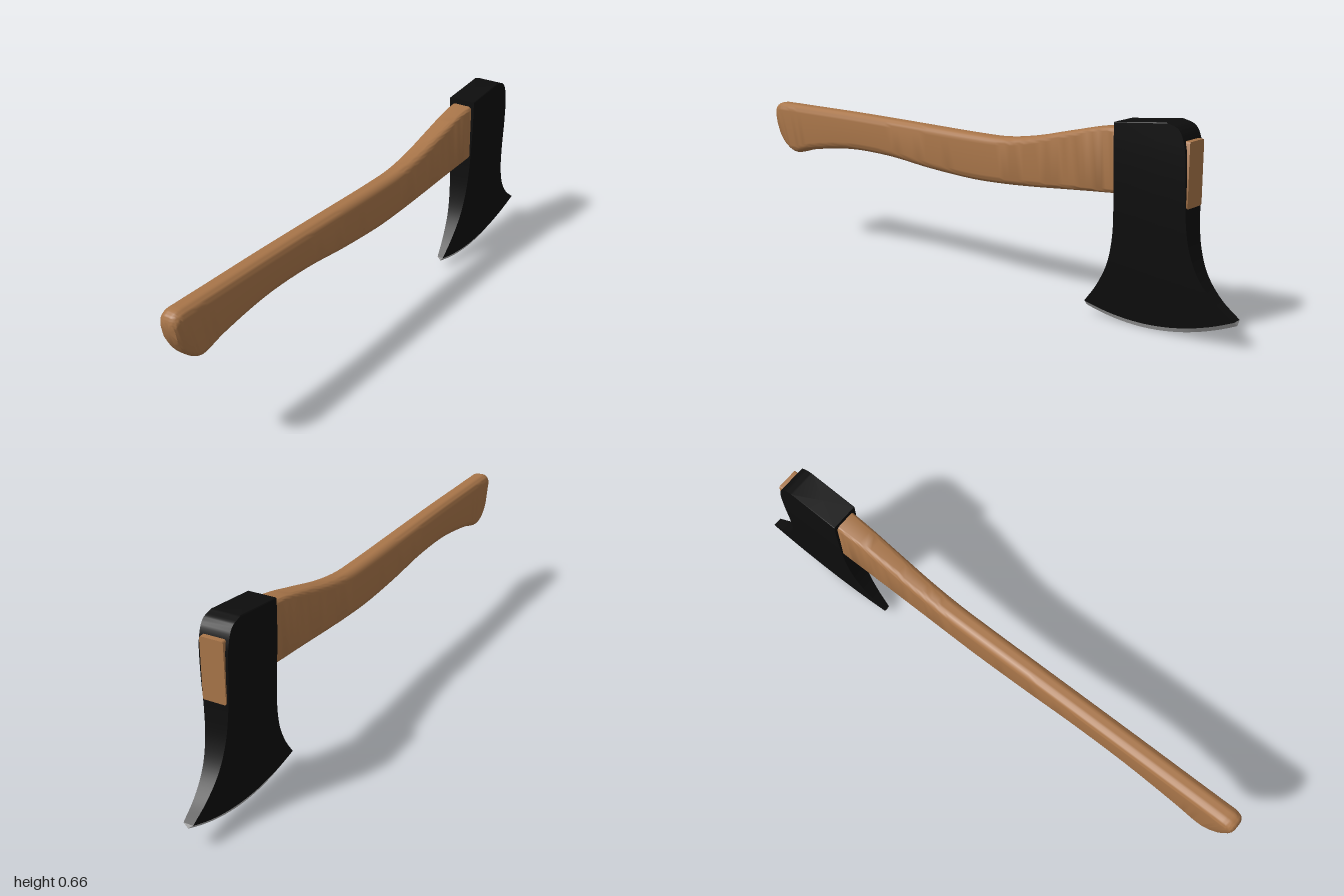
import * as THREE from 'three';
import { toCreasedNormals } from 'three/addons/utils/BufferGeometryUtils.js';

// Skin closed rings of points; optionally fan-cap the first and last ring.
function loft(rings, capStart, capEnd, crease) {
  const n = rings[0].length, pos = [], idx = [];
  rings.forEach(r => r.forEach(p => pos.push(p.x, p.y, p.z)));
  for (let i = 0; i < rings.length - 1; i++) {
    for (let j = 0; j < n; j++) {
      const k = (j + 1) % n;
      const a = i * n + j, b = i * n + k, c = b + n, d = a + n;
      idx.push(a, d, b, b, d, c);
    }
  }
  const cap = (row, flip) => {
    const m = new THREE.Vector3();
    rings[row].forEach(p => m.addScaledVector(p, 1 / n));
    const centre = pos.length / 3;
    pos.push(m.x, m.y, m.z);
    for (let j = 0; j < n; j++) {
      const a = row * n + j, b = row * n + (j + 1) % n;
      if (flip) idx.push(centre, b, a); else idx.push(centre, a, b);
    }
  };
  if (capStart) cap(0, false);
  if (capEnd) cap(rings.length - 1, true);
  const g = new THREE.BufferGeometry();
  g.setAttribute('position', new THREE.Float32BufferAttribute(pos, 3));
  g.setIndex(idx);
  return toCreasedNormals(g, crease);
}

const spline = pts => new THREE.CatmullRomCurve3(pts.map(p => new THREE.Vector3(...p)));

// Rounded-rectangle section between a top point and a bottom point.
function handleRing(top, bottom) {
  const w = top.x, h = top.distanceTo(new THREE.Vector3(w, bottom.y, bottom.z));
  const r = Math.min(bottom.x, w * 0.98, h * 0.49), ring = [];
  for (let q = 0; q < 4; q++) {
    for (let s = 0; s <= 6; s++) {
      const a = (q + s / 6) * Math.PI / 2;
      const sx = q === 0 || q === 3 ? 1 : -1, sy = q < 2 ? 1 : -1;
      const x = sx * (w - r) + r * Math.cos(a);
      const f = (sy * (h / 2 - r) + r * Math.sin(a)) / h + 0.5;
      ring.push(new THREE.Vector3(x, THREE.MathUtils.lerp(bottom.y, top.y, f),
        THREE.MathUtils.lerp(bottom.z, top.z, f)));
    }
  }
  return ring;
}

function handleGeometry() {
  // top line: half width, y, z
  const top = spline([
    [0.026, 0.512, 1.0], [0.032, 0.531, 0.993], [0.035, 0.541, 0.975], [0.035, 0.543, 0.93],
    [0.035, 0.543, 0.8], [0.035, 0.543, 0.6], [0.035, 0.541, 0.4], [0.035, 0.538, 0.2],
    [0.035, 0.535, 0.0], [0.035, 0.537, -0.13], [0.0355, 0.554, -0.25], [0.037, 0.587, -0.39],
    [0.039, 0.616, -0.52], [0.04, 0.625, -0.62], [0.04, 0.61, -0.842]]);
  // bottom line: corner radius, y, z
  const bottom = spline([
    [0.022, 0.44, 0.985], [0.026, 0.398, 0.958], [0.028, 0.368, 0.922], [0.028, 0.357, 0.89],
    [0.028, 0.378, 0.8], [0.028, 0.405, 0.6], [0.028, 0.405, 0.4], [0.028, 0.387, 0.2],
    [0.027, 0.377, 0.0], [0.026, 0.38, -0.13], [0.024, 0.388, -0.25], [0.02, 0.401, -0.39],
    [0.016, 0.413, -0.52], [0.012, 0.42, -0.62], [0.006, 0.41, -0.842]]);
  const rings = [], N = 84;
  for (let i = 0; i <= N; i++) rings.push(handleRing(top.getPoint(i / N), bottom.getPoint(i / N)));
  return loft(rings, true, true, 0.75);
}

// Wedge half thickness at a height.
const wedge = y => 0.006 + 0.044 * (1 - Math.pow(Math.max(0, 1 - y / 0.6), 1.7));

// Flat-sided section from front point to back point, sagging by front.x in the middle.
function headRing(front, back, width) {
  const side = [], M = 24;
  for (let j = 0; j <= M; j++) {
    const s = j / M, p = front.clone().lerp(back, s);
    p.y -= front.x * 4 * s * (1 - s);
    p.x = width(p.y);
    side.push(p);
  }
  const mirrored = side.map(p => new THREE.Vector3(-p.x, p.y, p.z)).reverse();
  return side.concat(mirrored);
}

export function createModel() {
  const wood = new THREE.MeshStandardMaterial({ color: 0xa87549 });
  wood.name = 'wood';
  const black = new THREE.MeshStandardMaterial({ color: 0x0d0d0d });
  black.name = 'blackSteel';
  const steel = new THREE.MeshStandardMaterial({ color: 0xb4b4b4 });
  steel.name = 'sharpenedSteel';

  const group = new THREE.Group();
  const add = (name, geometry, material) => {
    const m = new THREE.Mesh(geometry, material);
    m.name = name;
    group.add(m);
  };

  add('handle', handleGeometry(), wood);

  // Head outline: sag, y, z down the front and back edges
  const front = spline([
    [0, 0.643, -0.585], [0, 0.63, -0.585], [0, 0.6, -0.585], [0, 0.5, -0.585], [0, 0.38, -0.585],
    [0.008, 0.28, -0.578], [0.02, 0.19, -0.556], [0.035, 0.11, -0.513], [0.05, 0.045, -0.463]]);
  const back = spline([
    [0, 0.661, -0.765], [0, 0.645, -0.808], [0, 0.6, -0.829], [0, 0.5, -0.836], [0, 0.38, -0.838],
    [0, 0.285, -0.85], [0, 0.205, -0.88], [0, 0.14, -0.933], [0, 0.092, -0.998]]);
  const rings = [], N = 48;
  for (let i = 0; i <= N; i++) {
    const trim = i === 0 ? 0.002 : 0;
    rings.push(headRing(front.getPoint(i / N), back.getPoint(i / N), y => wedge(y) - trim));
  }
  add('axeHead', loft(rings, true, false, 0.5), black);

  // Sharpened cutting edge closing the wedge
  const edge = headRing(new THREE.Vector3(0.05, 0.03, -0.465), new THREE.Vector3(0, 0.078, -1), () => 0);
  add('cuttingEdge', loft([rings[N], edge], false, false, 0.5), steel);

  return group;
}
